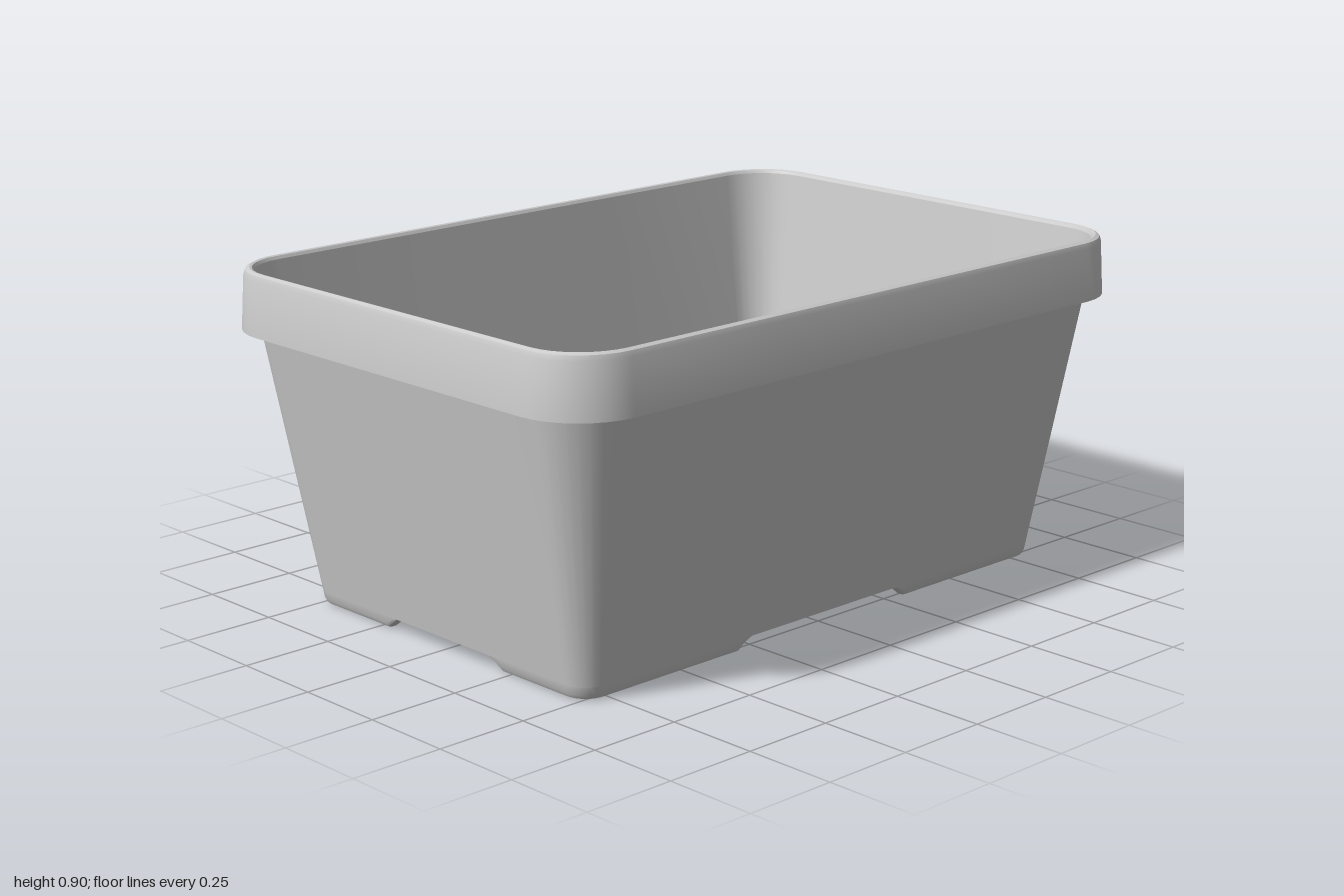
import * as THREE from 'three';
import { toCreasedNormals } from 'three/addons/utils/BufferGeometryUtils.js';

const NOTCH = 0.036; // height of the cut-outs between the feet
const ARC = 8;       // segments per rounded corner

// Rounded rectangle ring; straight sides carry extra points where the foot notches begin and end
function ring([hx, hz, r, y]) {
  const pts = [];
  const side = (outer, inner, place) => {
    for (const [t, cut] of [[-outer, 0], [-inner, NOTCH], [inner, NOTCH], [outer, 0]]) {
      const [x, z] = place(t);
      pts.push([x, Math.max(y, cut), z]);
    }
  };
  const corner = (sx, sz, start) => {
    for (let i = 0; i <= ARC; i++) {
      const a = start + (i / ARC) * Math.PI / 2;
      pts.push([sx * (hx - r) + r * Math.cos(a), y, sz * (hz - r) + r * Math.sin(a)]);
    }
  };
  side(0.225, 0.18, t => [hx, t]);
  corner(1, 1, 0);
  side(0.31, 0.265, t => [-t, hz]);
  corner(-1, 1, Math.PI / 2);
  side(0.225, 0.18, t => [-hx, -t]);
  corner(-1, -1, Math.PI);
  side(0.31, 0.265, t => [t, -hz]);
  corner(1, -1, Math.PI * 1.5);
  return pts;
}

// Skin a list of [halfX, halfZ, radius, y] sections; a section of one number is a centre point at that y
function loft(name, sections, material) {
  const count = ring([1, 1, 0.1, 0]).length;
  const rows = sections.map(s => s.length === 1
    ? Array.from({ length: count }, () => [0, s[0], 0])
    : ring(s));
  const index = [];
  for (let i = 0; i < rows.length - 1; i++) {
    for (let j = 0; j < count; j++) {
      const k = (j + 1) % count;
      const a = i * count + j, b = i * count + k, c = a + count, d = b + count;
      if (sections[i].length > 1) index.push(a, b, c);
      if (sections[i + 1].length > 1) index.push(b, d, c);
    }
  }
  const geo = new THREE.BufferGeometry();
  geo.setAttribute('position', new THREE.Float32BufferAttribute(rows.flat(2), 3));
  geo.setIndex(index);
  const mesh = new THREE.Mesh(toCreasedNormals(geo, 0.55), material);
  mesh.name = name;
  return mesh;
}

export function createModel() {
  const group = new THREE.Group();
  group.name = 'storageTub';
  const mat = new THREE.MeshStandardMaterial({ color: 0xcccccc, side: THREE.DoubleSide });

  // Inner floor and tapered inner walls
  group.add(loft('basin', [
    [0.05],
    [0.82, 0.516, 0.06, 0.05],
    [0.963, 0.658, 0.15, 0.89],
  ], mat));

  // Rounded rim with a hollow skirt turned down outside the wall
  group.add(loft('rim', [
    [0.963, 0.658, 0.15, 0.89],
    [0.968, 0.663, 0.155, 0.898],
    [0.975, 0.669, 0.16, 0.9],
    [0.985, 0.679, 0.17, 0.895],
    [0.99, 0.684, 0.175, 0.882],
    [1.0, 0.692, 0.185, 0.74],
    [0.984, 0.676, 0.169, 0.74],
    [0.976, 0.669, 0.162, 0.87],
  ], mat));

  // Tapered outer walls
  group.add(loft('outerWall', [
    [0.976, 0.669, 0.162, 0.87],
    [0.836, 0.531, 0.07, NOTCH],
  ], mat));

  // Rounded foot lip broken by a notch on every side, and the raised base plate
  group.add(loft('feetAndBase', [
    [0.836, 0.531, 0.07, NOTCH],
    [0.832, 0.527, 0.067, 0.014],
    [0.826, 0.521, 0.062, 0.004],
    [0.817, 0.512, 0.055, 0],
    [0.8, 0.495, 0.045, 0],
    [0.795, 0.49, 0.042, NOTCH],
    [NOTCH],
  ], mat));

  return group;
}
